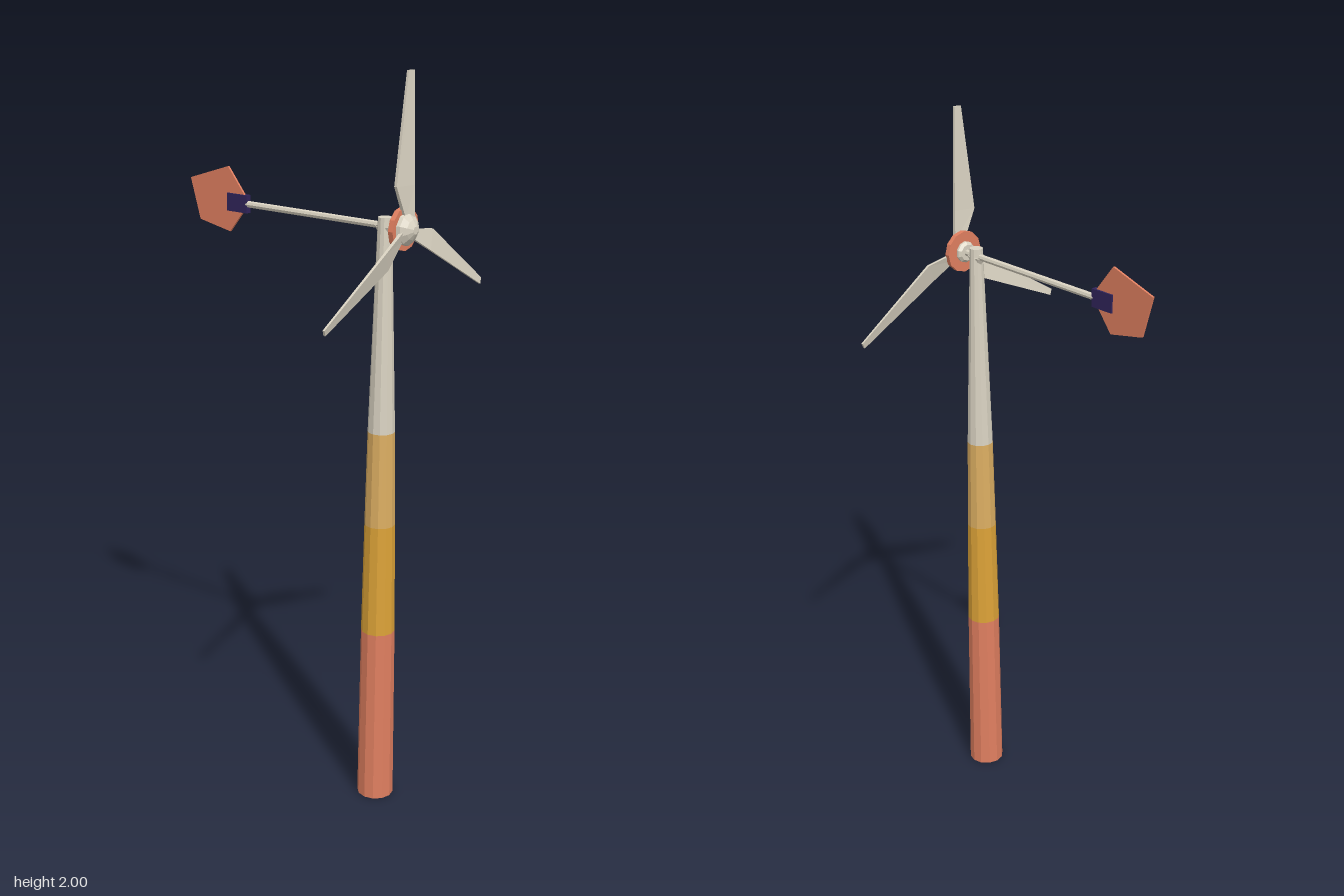
import * as THREE from 'three';

const AXIS_Y = 1.613, TOWER_Z = 0.28;

const material = (name, color) => {
  const m = new THREE.MeshStandardMaterial({ color });
  m.name = name;
  return m;
};

// Faceted copy of a geometry
function flat(geometry) {
  const g = geometry.index ? geometry.toNonIndexed() : geometry;
  g.computeVertexNormals();
  return g;
}

function add(parent, name, geometry, mat, x = 0, y = 0, z = 0) {
  const mesh = new THREE.Mesh(flat(geometry), mat);
  mesh.name = name;
  mesh.position.set(x, y, z);
  parent.add(mesh);
  return mesh;
}

// Solid turned about the z axis from [radius, z] pairs, back to front
function turned(profile, sides) {
  const points = profile.map(([r, z]) => new THREE.Vector2(r, z));
  return new THREE.LatheGeometry(points, sides).rotateX(Math.PI / 2);
}

// Pitched blade: a box whose three rows follow the root, widest and tip sections
function bladeGeometry() {
  const rows = [
    { y: 0.03, left: [-0.012, -0.004], right: [0.015, 0.004], t: 0.005 },
    { y: 0.11, left: [-0.044, -0.009], right: [0.013, 0.005], t: 0.004 },
    { y: 0.387, left: [-0.012, -0.002], right: [0.006, 0.002], t: 0.003 },
  ];
  const g = new THREE.BoxGeometry(2, 2, 2, 1, 2, 1);
  const p = g.attributes.position;
  for (let i = 0; i < p.count; i++) {
    const row = rows[Math.round(p.getY(i)) + 1];
    const [x, z] = p.getX(i) < 0 ? row.left : row.right;
    p.setXYZ(i, x, row.y, z + Math.sign(p.getZ(i)) * row.t);
  }
  return g;
}

export function createModel() {
  const model = new THREE.Group();
  model.name = 'windTurbine';
  const red = material('terracotta', 0xe07f60);
  const yellow = material('ochre', 0xdda338);
  const sand = material('paleOchre', 0xdcae62);
  const cream = material('cream', 0xdad3c2);
  const navy = material('indigo', 0x30245a);

  // Tapering tower in painted bands: bottom y, top y, bottom radius, top radius
  const tower = new THREE.Group();
  tower.name = 'tower';
  tower.position.z = TOWER_Z;
  model.add(tower);
  [
    ['towerBase', 0, 0.5, 0.05, 0.046, red],
    ['towerLowerBand', 0.5, 0.81, 0.046, 0.041, yellow],
    ['towerUpperBand', 0.81, 1.07, 0.041, 0.036, sand],
    ['towerTop', 1.07, 1.635, 0.036, 0.018, cream],
  ].forEach(([name, y0, y1, r0, r1, mat]) => {
    add(tower, name, new THREE.CylinderGeometry(r1, r0, y1 - y0, 12), mat, 0, (y0 + y1) / 2, 0);
  });

  // Bracket below the boom
  const bracket = new THREE.CylinderGeometry(0.03, 0.014, 0.026, 8);
  bracket.scale(0.6, 1, 1);
  add(tower, 'boomBracket', bracket, cream, 0, 1.598, 0);

  // Boom running through the tower head to the tail
  add(model, 'tailBoom', turned([[0, -0.175], [0.009, -0.175], [0.009, 0.335], [0, 0.335]], 8), cream, 0, AXIS_Y, 0);

  // Tail vane and its clamp
  const outline = [[-0.167, 1.617], [-0.24, 1.708], [-0.376, 1.664], [-0.343, 1.553], [-0.235, 1.532]];
  const shape = new THREE.Shape(outline.map(([z, y]) => new THREE.Vector2(-z, y)));
  const vane = new THREE.ExtrudeGeometry(shape, { depth: 0.006, bevelEnabled: false });
  vane.translate(0, 0, -0.003).rotateY(Math.PI / 2);
  add(model, 'tailVane', vane, red);
  add(model, 'vaneClamp', new THREE.BoxGeometry(0.016, 0.048, 0.07), navy, 0, AXIS_Y, -0.206);

  // Rotor: neck, disc, nose cone and three blades
  const rotor = new THREE.Group();
  rotor.name = 'rotor';
  rotor.position.set(-0.002, AXIS_Y, 0);
  model.add(rotor);
  add(rotor, 'rotorNeck', turned([[0, 0.318], [0.022, 0.318], [0.029, 0.325], [0.029, 0.334], [0, 0.334]], 10), cream);
  add(rotor, 'rotorDisc', turned([[0, 0.331], [0.056, 0.331], [0.056, 0.345], [0, 0.345]], 12), red);
  add(rotor, 'noseCone', turned([[0.043, 0.344], [0.041, 0.355], [0.026, 0.367], [0.01, 0.376], [0, 0.376]], 10), cream);
  for (let i = 0; i < 3; i++) {
    const blade = add(rotor, 'blade', bladeGeometry(), cream, 0, 0, 0.352);
    blade.rotation.z = (i * Math.PI * 2) / 3;
  }
  return model;
}
